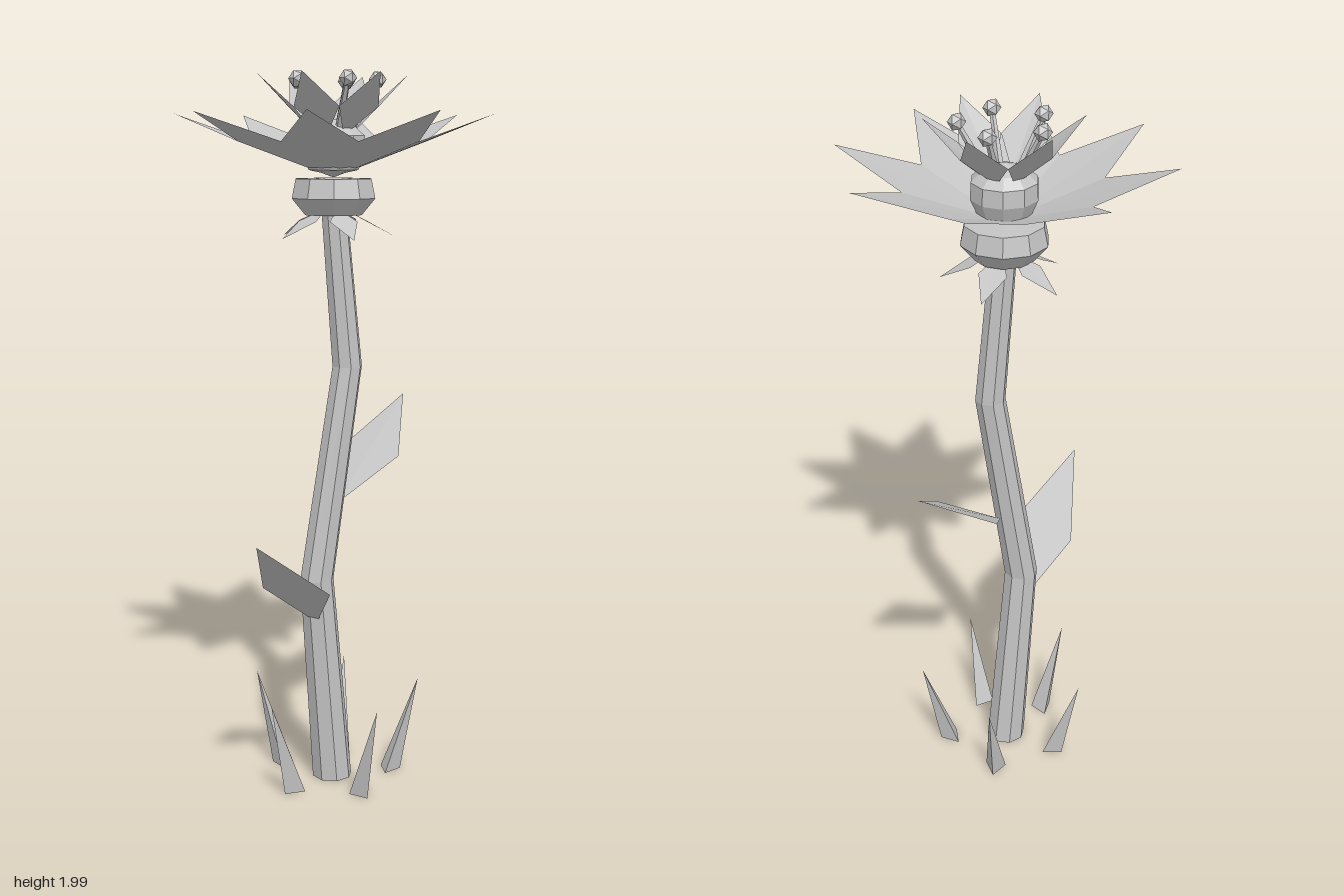
import * as THREE from 'three';

const V = (x, y, z) => new THREE.Vector3(x, y, z);
const polar = (r, a, y) => V(r * Math.cos(a), y, r * Math.sin(a));
const TAU = Math.PI * 2;

export function createModel() {
  const group = new THREE.Group();
  const grey = new THREE.MeshStandardMaterial({ color: 0xc4c4c4, flatShading: true, side: THREE.DoubleSide });
  grey.name = 'plain grey';

  const add = (name, geometry) => {
    const mesh = new THREE.Mesh(geometry, grey);
    mesh.name = name;
    group.add(mesh);
    return mesh;
  };

  // Thin blade from base to tip through two side corners
  const kite = (name, base, sideA, tip, sideB) => {
    const g = new THREE.BufferGeometry().setFromPoints([base, sideA, tip, sideB]);
    g.setIndex([0, 1, 2, 0, 2, 3]);
    g.computeVertexNormals();
    return add(name, g);
  };

  // Ring of kites: each profile entry is [radius, height]
  const whorl = (name, count, start, spread, base, side, tip) => {
    for (let i = 0; i < count; i++) {
      const a = start + (i * TAU) / count;
      kite(name, polar(base[0], a, base[1]), polar(side[0], a + spread, side[1]),
        polar(tip[0], a, tip[1]), polar(side[0], a - spread, side[1]));
    }
  };

  // Tube through stations [x, y, z, radius], capped at both ends
  const stemGeometry = (stations, sides) => {
    const pts = [], index = [];
    stations.forEach(([x, y, z, r]) => {
      for (let i = 0; i < sides; i++) pts.push(polar(r, ((i + 0.5) * TAU) / sides, y).add(V(x, 0, z)));
    });
    for (let s = 0; s < stations.length - 1; s++) {
      for (let i = 0; i < sides; i++) {
        const a = s * sides + i, b = s * sides + ((i + 1) % sides);
        index.push(a, a + sides, b, b, a + sides, b + sides);
      }
    }
    const last = (stations.length - 1) * sides;
    for (let i = 1; i < sides - 1; i++) index.push(0, i, i + 1, last, last + i + 1, last + i);
    const g = new THREE.BufferGeometry().setFromPoints(pts);
    g.setIndex(index);
    g.computeVertexNormals();
    return g;
  };

  // Bent stem
  add('stem', stemGeometry([
    [-0.005, 0, 0, 0.057], [-0.058, 0.6, 0, 0.048], [0.035, 1.2, 0.017, 0.042], [0.002, 1.64, 0, 0.036],
  ], 8));

  // Swollen base under the flower, and the raised disc inside it
  const lathe = (name, profile, sides) =>
    add(name, new THREE.LatheGeometry(profile.map(([r, y]) => new THREE.Vector2(r, y)), sides));
  lathe('flowerBase', [[0, 1.61], [0.08, 1.615], [0.118, 1.66], [0.107, 1.712], [0, 1.715]], 10);
  lathe('flowerCentre', [[0, 1.72], [0.07, 1.735], [0.09, 1.78], [0.088, 1.825], [0.06, 1.85], [0, 1.87]], 10);

  // Drooping sepals and the two rows of petals
  whorl('sepal', 5, Math.PI, 0.42, [0.02, 1.635], [0.095, 1.6], [0.17, 1.555]);
  whorl('outerPetal', 8, 0, Math.PI / 8, [0, 1.715], [0.26, 1.81], [0.44, 1.885]);
  whorl('innerPetal', 6, Math.PI / 6, Math.PI / 6, [0.045, 1.825], [0.13, 1.9], [0.203, 1.987]);

  // Stamens: tapered filament with a faceted tip
  for (let i = 0; i < 5; i++) {
    const a = Math.PI + (i * TAU) / 5;
    const from = polar(0.04, a, 1.83), to = polar(0.118, a, 1.972);
    const dir = to.clone().sub(from);
    const filament = add('stamenFilament', new THREE.CylinderGeometry(0.007, 0.012, dir.length(), 5));
    filament.position.copy(from).add(to).multiplyScalar(0.5);
    filament.quaternion.setFromUnitVectors(V(0, 1, 0), dir.normalize());
    add('stamenTip', new THREE.IcosahedronGeometry(0.024, 0)).position.copy(to);
  }

  // Stem leaves
  kite('leftLeaf', V(0.015, 0.81, 0), V(0.21, 0.925, 0.03), V(0.362, 1.07, -0.137), V(0.128, 0.92, -0.155));
  kite('rightLeaf', V(-0.065, 0.475, 0.01), V(-0.258, 0.615, 0.025), V(-0.403, 0.793, 0.213), V(-0.16, 0.62, 0.2));

  // Grass blades leaning outward around the foot
  for (let i = 0; i < 5; i++) {
    const a = THREE.MathUtils.degToRad(98 + 72 * i);
    const blade = new THREE.ConeGeometry(0.034, 0.275, 3);
    blade.rotateY(Math.PI / 2 - a);
    blade.translate(0, 0.1375, 0);
    const p = blade.attributes.position;
    for (let k = 0; k < p.count; k++) {
      const lean = 0.165 + (p.getY(k) / 0.275) * 0.085;
      p.setX(k, p.getX(k) + lean * Math.cos(a));
      p.setZ(k, p.getZ(k) + lean * Math.sin(a));
    }
    blade.computeVertexNormals();
    add('grassBlade', blade);
  }

  return group;
}
